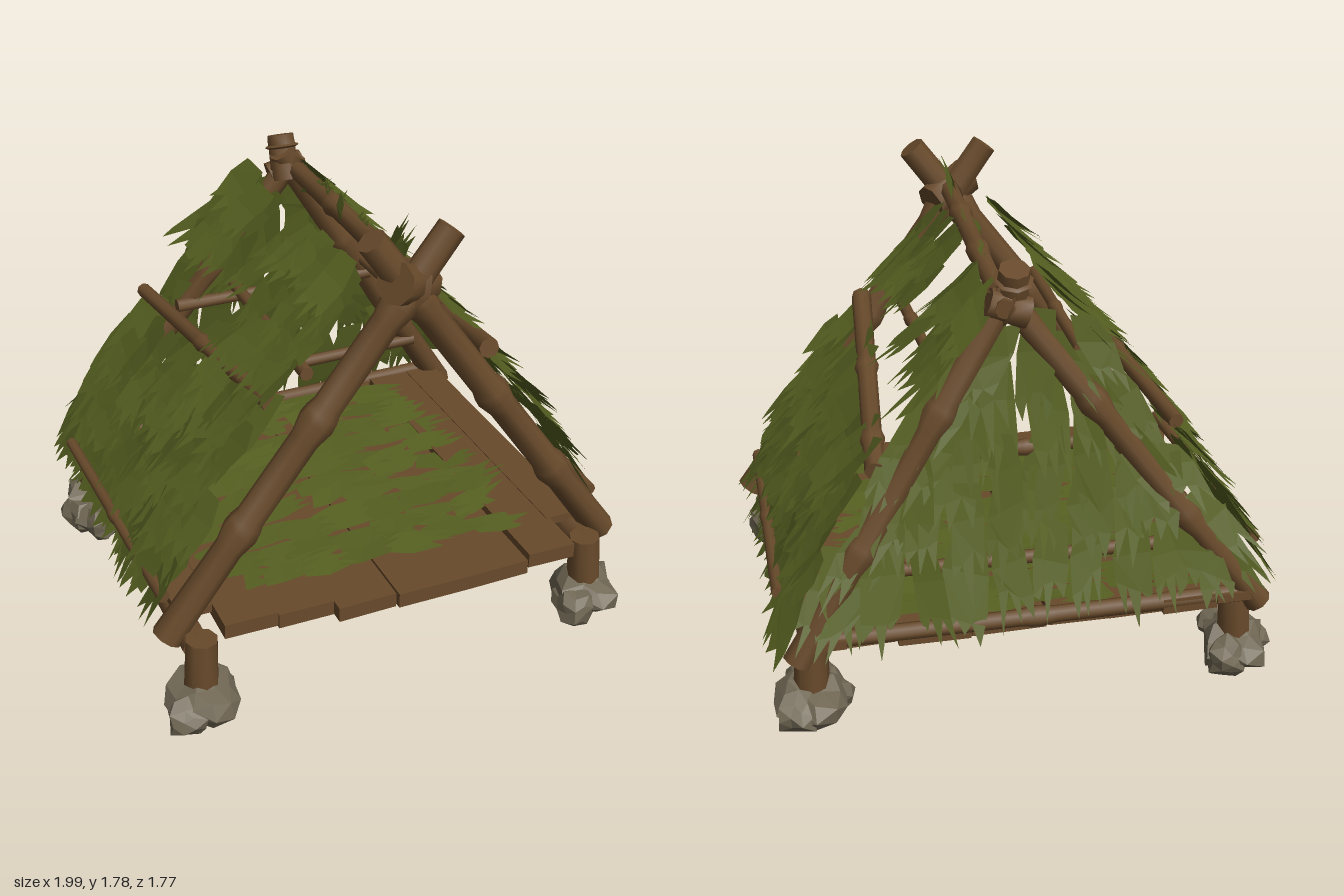
import * as THREE from 'three';
import { toCreasedNormals } from 'three/addons/utils/BufferGeometryUtils.js';

const V = (x, y, z) => new THREE.Vector3(x, y, z);

export function createModel() {
  const model = new THREE.Group();
  const wood = new THREE.MeshStandardMaterial({ name: 'bark brown', color: 0x684a2b });
  const leafMat = new THREE.MeshStandardMaterial({
    name: 'leaf green', color: 0x566021, flatShading: true, side: THREE.DoubleSide });
  const stone = new THREE.MeshStandardMaterial({ name: 'stone grey', color: 0x706754, flatShading: true });

  // seeded random numbers
  let seed = 7;
  const rnd = () => (seed = (seed * 16807) % 2147483647) / 2147483647;
  const jit = (a) => (rnd() * 2 - 1) * a;

  const add = (name, geo, mat) => {
    const mesh = new THREE.Mesh(geo, mat);
    mesh.name = name;
    model.add(mesh);
    return mesh;
  };

  // a rough pole from a to b, with flared joints along it
  const pole = (name, a, b, r, joints = [0.3, 0.66]) => {
    const len = a.distanceTo(b);
    const pts = [[0, 0], [r, 0]];
    for (const t of joints) pts.push([r * 0.92, t - 0.05], [r * 1.17, t - 0.01], [r * 1.1, t + 0.01], [r * 0.94, t + 0.03]);
    pts.push([r * 0.9, 1], [0, 1]);
    const geo = new THREE.LatheGeometry(pts.map(([x, t]) => new THREE.Vector2(x, t * len)), 8);
    const mesh = add(name, toCreasedNormals(geo, 0.85), wood);
    mesh.position.copy(a);
    mesh.quaternion.setFromUnitVectors(V(0, 1, 0), b.clone().sub(a).normalize());
  };

  const box = (name, w, h, d, x, y, z) => {
    const mesh = add(name, new THREE.BoxGeometry(w, h, d), wood);
    mesh.position.set(x, y, z);
    return mesh;
  };

  // rocks under each foot: squashed spheres with a rule-based wobble
  const rock = (x, y, z, rx, ry, rz, k) => {
    const geo = new THREE.IcosahedronGeometry(1, 1);
    const p = geo.attributes.position;
    for (let i = 0; i < p.count; i++) {
      const v = V().fromBufferAttribute(p, i);
      const s = 0.95 + 0.17 * Math.sin(Math.round(v.x * 50) * 1.7 + Math.round(v.y * 50) * 2.9 + Math.round(v.z * 50) * 4.3 + k);
      p.setXYZ(i, v.x * s * rx, Math.max(v.y * s * ry, -y), v.z * s * rz);
    }
    add('footRock', geo, stone).position.set(x, y, z);
  };
  [[-0.81, 0.7], [0.81, 0.69], [-0.81, -0.71], [0.83, -0.72]].forEach(([x, z], i) => {
    rock(x, 0.09, z, 0.145, 0.1, 0.15, i);
    rock(x - 0.07, 0.07, z + 0.06, 0.09, 0.08, 0.1, i + 2);
    rock(x + 0.05, 0.08, z - 0.06, 0.09, 0.09, 0.1, i + 5);
    if (z < 0) rock(x - 0.02, 0.08, z + 0.15, 0.1, 0.08, 0.11, i + 9);
    pole('leg', V(x, 0.08, z), V(x * 0.985, 0.345, z), 0.068, []);
  });

  // floor planks running front to back: [left, right, front]
  for (const [x0, x1, zf] of [[-0.7, -0.5, 0.7], [-0.5, -0.29, 0.71], [-0.28, -0.06, 0.76], [-0.04, 0.23, 0.765],
    [0.24, 0.5, 0.76], [0.52, 0.71, 0.75]]) {
    const zb = -0.77 + jit(0.02);
    const p = box('floorPlank', x1 - x0 + 0.01, 0.06, zf - zb, (x0 + x1) / 2, 0.335 + jit(0.01), (zf + zb) / 2);
    p.rotation.z = jit(0.03);
    p.rotation.y = jit(0.008);
  }
  for (const s of [-1, 1]) {
    pole('sideBeam', V(0.81 * s, 0.295, 0.68), V(0.81 * s, 0.29, -0.72), 0.054, [0.45]);
    box('floorEdge', 0.14, 0.035, 1.36, 0.77 * s, 0.355, -0.12);
  }
  pole('backBeam', V(-0.82, 0.35, -0.76), V(0.82, 0.36, -0.76), 0.035, [0.5]);

  // crossed frames: upright at the front, leaning in at the back
  pole('frontPole', V(-0.9, 0.31, 0.6), V(0.19, 1.75, 0.62), 0.06, [0.28, 0.55, 0.83]);
  pole('frontPole', V(0.93, 0.29, 0.59), V(-0.11, 1.75, 0.61), 0.06, [0.25, 0.52, 0.83]);
  pole('backPole', V(-0.88, 0.3, -0.76), V(0.1, 1.6, -0.57), 0.052);
  pole('backPole', V(0.88, 0.28, -0.76), V(0.03, 1.62, -0.57), 0.055);

  // ridge, lashings and roof rails
  pole('ridgePole', V(0.04, 1.585, 0.67), V(0.09, 1.54, -0.66), 0.04, [0.3, 0.6]);
  pole('frontLashing', V(-0.04, 1.6, 0.66), V(0.12, 1.53, 0.57), 0.08, [0.5]);
  pole('backLashing', V(0.05, 1.5, -0.56), V(0.05, 1.67, -0.62), 0.062, [0.75]);
  pole('backLashing', V(0.0, 1.5, -0.61), V(0.14, 1.55, -0.6), 0.06, [0.5]);
  pole('roofRail', V(0.43, 1.17, 0.5), V(0.56, 0.975, -0.67), 0.04, [0.45, 0.85]);
  pole('roofRail', V(-0.44, 1.13, 0.5), V(-0.54, 1.06, -0.68), 0.032, [0.5]);
  for (const s of [-1, 1]) {
    pole('lowerRail', V(0.89 * s, 0.46, 0.56), V(0.92 * s, 0.47, -0.58), 0.025, [0.5]);
    pole('innerRail', V(0.3 * s, 1.22, 0.5), V(0.28 * s, 1.21, -0.3), 0.026, [0.5]);
  }
  pole('backRail', V(-0.64, 0.56, -0.68), V(0.7, 0.57, -0.68), 0.028, [0.42]);
  pole('backRail', V(-0.42, 0.99, -0.62), V(0.45, 0.98, -0.62), 0.028, [0.5]);

  // one torn leaf on a surface map (u across, v down, lift outward): a blade ending in three prongs
  const leaf = (out, surf, u, v, w, len, lift) => {
    const lean = jit(0.07), bend = jit(0.02), tilt = jit(0.03);
    const at = (side, t) => surf(u + lean * t + side * w / 2, v + len * t + side * tilt, lift + 0.045 * t * t + side * bend);
    const tri = (...pts) => pts.forEach((p) => out.push(p.x, p.y, p.z));
    const top = [at(-0.75, 0), at(0.7, jit(0.05))];
    const wide = [at(-1 - jit(0.15), 0.35 + jit(0.08)), at(1 + jit(0.15), 0.35 + jit(0.08))];
    const cuts = [-0.95, -0.3, 0.3, 0.9].map((s) => at(s + jit(0.1), 0.68 + jit(0.1)));
    tri(top[0], wide[0], top[1], top[1], wide[0], wide[1]);
    tri(wide[0], cuts[0], cuts[1], wide[0], cuts[1], wide[1]);
    tri(wide[1], cuts[1], cuts[2], wide[1], cuts[2], cuts[3]);
    for (let i = 0; i < 3; i++) {
      tri(cuts[i], at((i - 1) * 0.7 + jit(0.25), (i === 1 ? 1 : 0.88) + jit(0.12)), cuts[i + 1]);
    }
  };

  // overlapping rows of leaves: [start v, from u, to u, leaf length]
  const thatch = (name, surf, rows, step, w, lift = 0.015) => {
    const out = [];
    for (const [v, u0, u1, len] of rows) {
      const n = Math.max(1, Math.round((u1 - u0) / step));
      for (let i = 0; i <= n; i++) {
        leaf(out, surf, u0 + (u1 - u0) * i / n + jit(0.02), v + jit(0.03),
          w * (0.85 + rnd() * 0.35), len * (0.85 + rnd() * 0.25), lift + jit(0.015));
      }
    }
    const geo = new THREE.BufferGeometry();
    geo.setAttribute('position', new THREE.Float32BufferAttribute(out, 3));
    geo.computeVertexNormals();
    add(name, geo, leafMat);
  };

  // roof sides bulge slightly and lean in toward the back
  const slope = new THREE.CatmullRomCurve3([V(0.07, 1.58, 0), V(0.29, 1.31, 0), V(0.58, 0.96, 0), V(0.81, 0.6, 0), V(0.93, 0.34, 0)]);
  const roof = (s) => (u, v, l) => {
    const t = v / 1.53;
    const p = slope.getPointAt(Math.min(1, Math.max(0, t)));
    return V(s * (p.x + l * 0.84), p.y + l * 0.54 - Math.max(0, t - 1), u < 0 ? u * (1 + 0.28 * t) : u);
  };
  const lower = [[0.7, -0.52, 0.49, 0.3], [0.84, -0.54, 0.5, 0.3], [0.98, -0.55, 0.51, 0.29],
    [1.11, -0.56, 0.51, 0.29], [1.24, -0.56, 0.51, 0.3]];
  thatch('leftRoofLeaves', roof(1), [[0.02, 0, 0.46, 0.28], [0.17, 0.03, 0.46, 0.33],
    [0.02, -0.54, -0.24, 0.3], [0.2, -0.54, -0.25, 0.36], [0.58, 0.05, 0.48, 0.28], ...lower], 0.095, 0.16);
  thatch('rightRoofLeaves', roof(-1), [[0.02, -0.54, -0.24, 0.28], [0.02, 0.01, 0.47, 0.28], [0.16, -0.01, 0.47, 0.32],
    [0.18, -0.54, -0.25, 0.34], [0.38, 0.05, 0.48, 0.32], [0.56, -0.05, 0.48, 0.3], ...lower], 0.095, 0.16);

  // back wall: hanging strips with gaps between them
  const back = (u, v, l) => V(u, 1.54 - v, -0.56 - 0.07 * v - 0.07 * v * v - l);
  thatch('backWallLeaves', back, [[0.02, -0.05, 0.14, 0.45], [0.2, -0.19, 0.25, 0.48], [0.46, -0.38, 0.42, 0.42],
    [0.62, -0.52, 0.54, 0.38], [0.84, -0.68, 0.7, 0.38]], 0.16, 0.135, 0.035);
  // leaf edges wrapping the sloping back corners
  for (const s of [-1, 1]) {
    const hip = (u, v, l) => back(s * (0.08 + 0.62 * v + u), v, l);
    thatch('backCornerLeaves', hip, [0.1, 0.26, 0.42, 0.58, 0.74, 0.88].map((v) => [v, -0.05, 0.06, 0.3]), 0.11, 0.13, 0.04);
  }

  // leaf bedding on the floor
  const floor = (u, v, l) => V(v, 0.372 + l * 0.4, u);
  thatch('beddingLeaves', floor, [-0.68, -0.5, -0.32, -0.14, 0.04, 0.22, 0.4].map((v) => [v, -0.64, 0.48, 0.27]), 0.12, 0.14, 0);

  // sprouts standing on the ridge
  const ridge = (u, v, l) => V(0.03 + l, 1.54 + v, u + v * 0.3 - 0.03);
  thatch('ridgeSprouts', ridge, [[0, 0.42, 0.5, 0.2], [0, 0.05, 0.18, 0.1], [0, -0.32, -0.2, 0.1]], 0.09, 0.1);

  return model;
}
